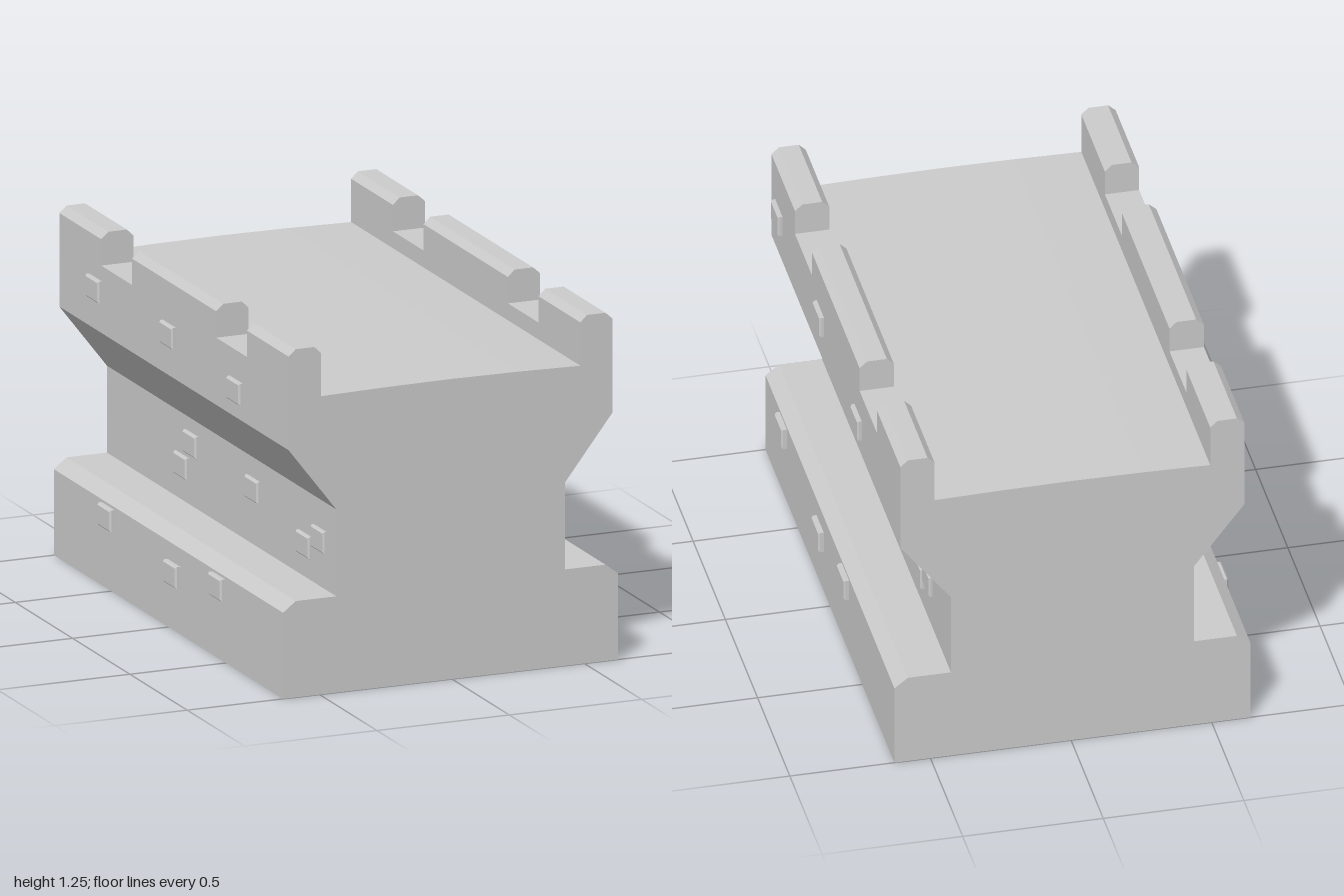
import * as THREE from 'three';

const CX = -0.005; // the wall section sits slightly off centre
const material = new THREE.MeshStandardMaterial({ color: 0xcccccc, flatShading: true });

// Extrudes an outline of [x, y] points along z, from z0 to z1.
function extrudeZ(points, z0, z1) {
  const shape = new THREE.Shape(points.map(([x, y]) => new THREE.Vector2(x, y)));
  const geometry = new THREE.ExtrudeGeometry(shape, { depth: z1 - z0, bevelEnabled: false });
  return geometry.translate(CX, 0, z0);
}

function addMesh(parent, name, geometry) {
  const mesh = new THREE.Mesh(geometry, material);
  mesh.name = name;
  parent.add(mesh);
  return mesh;
}

// Raised brick with bevelled edges, facing +z, its back on z = 0.
function brickGeometry(depth) {
  const w = 0.113, h = 0.08, bevel = 0.006;
  const x = w / 2 - bevel, y = h / 2 - bevel;
  const shape = new THREE.Shape([
    new THREE.Vector2(-x, -y), new THREE.Vector2(x, -y),
    new THREE.Vector2(x, y), new THREE.Vector2(-x, y),
  ]);
  const geometry = new THREE.ExtrudeGeometry(shape, {
    depth: depth - bevel, bevelEnabled: true, bevelSegments: 1,
    bevelSize: bevel, bevelThickness: bevel,
  });
  return geometry;
}

export function createModel() {
  const model = new THREE.Group();
  model.name = 'wallSegment';

  // Wall body: stepped base, narrow middle, flared top and gently crowned walkway
  const half = [
    [0.633, 0], [0.633, 0.31], [0.585, 0.347], [0.432, 0.347], [0.432, 0.66],
    [0.612, 0.893], [0.612, 1.135], [0.49, 1.135], [0.49, 1.074], [0.25, 1.079],
  ];
  const mirrored = half.map(([x, y]) => [-x, y]).reverse();
  addMesh(model, 'wallBody', extrudeZ([...half, [0, 1.081], ...mirrored], -1, 1));

  // Merlons with chamfered tops, three along each parapet
  const merlon = [
    [0.49, 1.135], [0.612, 1.135], [0.612, 1.23], [0.585, 1.254], [0.515, 1.254], [0.49, 1.23],
  ];
  for (const side of [1, -1]) {
    const outline = merlon.map(([x, y]) => [side * x, y]);
    for (const [z0, z1] of [[-1, -0.635], [-0.368, 0.368], [0.635, 1]]) {
      addMesh(model, side > 0 ? 'leftMerlon' : 'rightMerlon', extrudeZ(outline, z0, z1));
    }
  }

  // Raised bricks as [z, y] on each band; the other side is the same set turned about y
  const bands = [
    { name: 'UpperBrick', x: 0.612, depth: 0.016, at: [[0.885, 1.04], [0.24, 1.04], [-0.345, 0.99]] },
    {
      name: 'MiddleBrick', x: 0.432, depth: 0.014,
      at: [[0.457, 0.57], [0.54, 0.472], [-0.082, 0.547], [-0.53, 0.465], [-0.66, 0.517]],
    },
    { name: 'BaseBrick', x: 0.633, depth: 0.019, at: [[0.725, 0.26], [0.152, 0.204], [-0.24, 0.26]] },
  ];
  for (const { name, x, depth, at } of bands) {
    const geometry = brickGeometry(depth);
    for (const [z, y] of at) {
      const left = addMesh(model, 'left' + name, geometry);
      left.position.set(CX + x, y, z);
      left.rotation.y = Math.PI / 2;
      const right = addMesh(model, 'right' + name, geometry);
      right.position.set(CX - x, y, 0.2 - z);
      right.rotation.y = -Math.PI / 2;
    }
  }

  return model;
}
